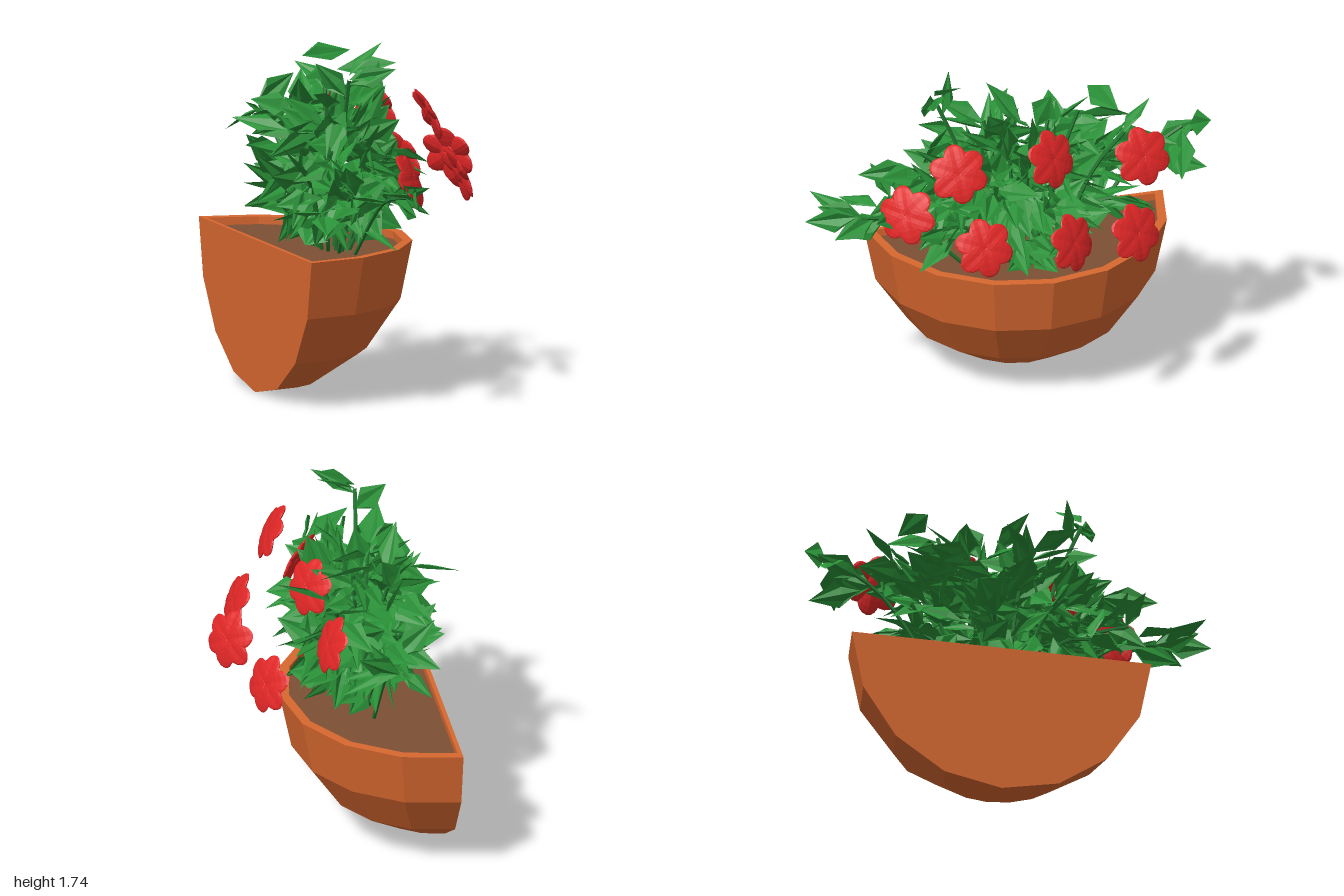
import * as THREE from 'three';
import { mergeGeometries } from 'three/addons/utils/BufferGeometryUtils.js';

const V = (x, y, z) => new THREE.Vector3(x, y, z);
const mat = (color, extra = {}) => new THREE.MeshStandardMaterial({ color, flatShading: true, ...extra });

// seeded random numbers
let seed = 11;
const rnd = (a = 0, b = 1) => {
  seed = (seed * 16807) % 2147483647;
  return a + (b - a) * seed / 2147483647;
};

function add(parent, name, geometry, material) {
  const mesh = new THREE.Mesh(geometry, material);
  mesh.name = name;
  parent.add(mesh);
  return mesh;
}

// half of a 16-sided ring, bulging toward +x (flat side at x = back)
function halfRing(r, back = 0) {
  const pts = [];
  for (let i = 0; i <= 8; i++) {
    const a = -Math.PI / 2 + i * Math.PI / 8;
    pts.push(new THREE.Vector2(Math.max(back, r * Math.cos(a)), r * Math.sin(a)));
  }
  return pts;
}

// flat half ring with a hole, used for the rim and the wall below it
function rimShape(outer, back, R) {
  const shape = new THREE.Shape(halfRing(outer, back));
  shape.holes.push(new THREE.Path(halfRing(R - 0.045, 0.02).reverse()));
  return shape;
}

// quarter-sphere wall pot with flat back, rim and soil
function makePot() {
  const R = 0.745, pot = new THREE.Group();
  pot.name = 'pot';
  const clay = mat(0xd86830);

  const bowl = new THREE.SphereGeometry(R, 8, 4, Math.PI / 2, Math.PI, Math.PI / 2, Math.PI / 2);
  add(pot, 'bowl', bowl.translate(0, R, 0), clay);

  const back = halfRing(R).map(p => new THREE.Vector2(p.y, R - p.x));
  add(pot, 'backPlate', new THREE.ShapeGeometry(new THREE.Shape(back)).rotateY(-Math.PI / 2), clay);

  const rim = new THREE.ShapeGeometry(rimShape(R, 0, R));
  add(pot, 'rim', rim.rotateX(-Math.PI / 2).translate(0, R, 0), clay);

  const wall = new THREE.ExtrudeGeometry(rimShape(R - 0.015, 0.005, R), { depth: 0.045, bevelEnabled: false });
  add(pot, 'innerWall', wall.rotateX(-Math.PI / 2).translate(0, R - 0.047, 0), clay);

  const soil = new THREE.ShapeGeometry(new THREE.Shape(halfRing(R - 0.03, 0.01)));
  add(pot, 'soil', soil.rotateX(-Math.PI / 2).translate(0, R - 0.04, 0), mat(0x7d4f33));

  pot.scale.x = 1.02;
  pot.position.set(-0.5, 0, -0.145);
  return pot;
}

// pleated pointed leaf from base to tip
function leaf(base, tip, up, width = 0.13) {
  const dir = tip.clone().sub(base), len = dir.length();
  dir.normalize();
  const side = up.clone().cross(dir).normalize();
  const normal = dir.clone().cross(side);
  const at = (u, v, w) => base.clone().addScaledVector(dir, u * len)
    .addScaledVector(side, v * width).addScaledVector(normal, w * width);
  const mid = [[0.45, -0.5, 0.1], [0.33, -0.27, 0.13], [0.36, 0, -0.04], [0.33, 0.27, 0.13], [0.45, 0.5, 0.1]]
    .map(p => at(...p));
  const tris = [];
  for (let i = 0; i < 4; i++) tris.push(base, mid[i + 1], mid[i], tip, mid[i], mid[i + 1]);
  const geo = new THREE.BufferGeometry().setFromPoints(tris);
  geo.computeVertexNormals();
  return geo;
}

// leaf heading roughly along a direction, kept inside an oval outline that narrows at both ends
function looseLeaf(base, heading, spread) {
  const d = heading.clone().normalize().add(V(rnd(-1, 1), rnd(-0.9, 0.7), rnd(-1, 1)).multiplyScalar(spread));
  const tip = base.clone().addScaledVector(d.normalize(), rnd(0.21, 0.28));
  const narrow = 0.8 * Math.min(tip.z * tip.z, 0.3);
  tip.clamp(V(-0.57 + narrow, 0.74, -0.99), V((tip.y > 1.2 ? 0.14 : 0.29) - narrow * 0.9, 1.66, 0.98));
  return leaf(base, tip, V(rnd(-1, 1), rnd(0.2, 1), rnd(-1, 1)), rnd(0.11, 0.15));
}

function makeFoliage() {
  const leaves = [], stems = [];
  const foliage = new THREE.Group();
  foliage.name = 'foliage';

  // long shoots, listed by the position of their ends
  const ends = [
    [-0.2, 1.58, 0.33], [-0.18, 1.27, -0.9], [-0.06, 1.06, 0.74], [-0.06, 1.5, -0.35],
    [0.06, 1.42, -0.55], [-0.36, 1.3, 0.02], [-0.38, 1.1, 0.2], [-0.38, 0.98, -0.15],
    [-0.22, 1.42, 0.08], [0.1, 1.2, 0.12], [0.12, 1.1, -0.2], [0.06, 1.35, -0.08],
    [-0.25, 1.05, 0.55], [-0.15, 1.25, 0.45], [-0.18, 1.2, -0.55], [-0.08, 0.98, -0.55],
    [-0.25, 1.36, -0.25], [-0.08, 1.42, 0.0], [0.02, 0.98, 0.35], [-0.34, 0.92, 0.35]
  ];
  for (const e of ends) {
    const end = V(...e);
    const root = V(-0.15 + (e[0] + 0.15) * 0.3, 0.7, -0.08 + (e[2] + 0.08) * 0.35);
    const bend = root.clone().lerp(end, 0.55).add(V(0, 0.1, 0));
    const curve = new THREE.CatmullRomCurve3([root, bend, end]);
    stems.push(new THREE.TubeGeometry(curve, 8, 0.01, 5));
    const heading = V(e[0] + 0.15, 0.1, e[2] + 0.05);
    for (let i = 0; i < 5; i++) {
      leaves.push(looseLeaf(curve.getPoint(0.48 + i * 0.12), heading, i < 4 ? 1.3 : 0.8));
    }
  }

  // outermost leaves
  [
    [[-0.2, 1.6, 0.33], [0, 1.74, 0.25], [-0.6, 1, 0]],
    [[-0.2, 1.58, 0.33], [-0.02, 1.62, 0.38], [0, 1, 0.5]],
    [[-0.18, 1.27, -0.94], [0.03, 1.4, -0.99], [0, 0.2, 1]],
    [[-0.18, 1.25, -0.9], [0.08, 1.12, -0.83], [0.2, 1, 0]],
    [[-0.12, 1.15, -0.75], [-0.05, 1.1, -0.99], [1, 0.5, 0]],
    [[-0.04, 1.08, 0.76], [-0.11, 1.05, 1], [1, 0.2, 0]],
    [[-0.05, 1.06, 0.77], [-0.28, 1.12, 0.93], [0, 1, 0]],
    [[-0.25, 1.0, 0.6], [-0.45, 0.97, 0.74], [0, 1, 0]],
    [[-0.15, 1.58, -0.42], [0.13, 1.58, -0.5], [0, 0.8, 0.6]],
    [[0.08, 1.48, -0.55], [0.33, 1.52, -0.4], [0, 0.7, 0.7]],
    [[-0.4, 1.3, 0.02], [-0.62, 1.35, -0.15], [0, 0.8, 0.6]]
  ].forEach(([b, t, u]) => leaves.push(leaf(V(...b), V(...t), V(...u))));

  // dense mound in the middle
  for (let i = 0; i < 190; i++) {
    const a = rnd(0, Math.PI * 2), h = rnd(-0.95, 0.95), k = Math.sqrt(rnd(0.03, 1));
    const s = Math.sqrt(1 - h * h) * k;
    const out = V(Math.cos(a) * s, h * k, Math.sin(a) * s);
    const base = V(-0.14 + out.x * 0.24, 1.08 + out.y * 0.33, -0.06 + out.z * 0.46);
    leaves.push(looseLeaf(base, V(out.x, out.y * 0.5 + 0.05, out.z), 1.5 - k * 0.3));
  }

  add(foliage, 'stems', mergeGeometries(stems), mat(0x257a32));
  add(foliage, 'leaves', mergeGeometries(leaves), mat(0x2a9138, { side: THREE.DoubleSide }));
  return foliage;
}

// six overlapping rounded petals around a small centre, facing +z
function flowerGeometry() {
  const parts = [new THREE.SphereGeometry(0.05, 10, 6).scale(1, 1, 0.3)];
  for (let i = 0; i < 6; i++) {
    const petal = new THREE.SphereGeometry(1, 12, 8);
    const p = petal.attributes.position;
    // crease along the middle of each petal
    for (let j = 0; j < p.count; j++) p.setZ(j, p.getZ(j) * 0.7 + Math.abs(p.getY(j)) * 0.4);
    petal.scale(0.075, 0.058, 0.02).rotateY(0.14).translate(0.072, 0, 0);
    parts.push(petal.rotateZ(i * Math.PI / 3 + 0.05));
  }
  return mergeGeometries(parts);
}

function makeFlowers() {
  const flowers = new THREE.Group();
  flowers.name = 'flowers';
  const geo = flowerGeometry(), red = mat(0xe02626);
  // position, facing direction
  [
    [[0.215, 1.39, 0.32], [0.88, 0.45, 0.1]],
    [[0.04, 1.1, 0.53], [0.7, 0.35, 0.55]],
    [[0.4, 1.07, 0.24], [0.9, 0.4, 0]],
    [[0.12, 1.35, -0.17], [0.8, 0.35, -0.45]],
    [[0.51, 1.1, -0.17], [0.75, 0.3, -0.52]],
    [[0.39, 1.04, -0.52], [0.85, 0.35, -0.4]],
    [[0.1, 1.29, -0.63], [0.9, 0.38, -0.15]]
  ].forEach(([p, n], i) => {
    const flower = add(flowers, 'flower' + (i + 1), geo, red);
    flower.position.set(...p);
    flower.quaternion.setFromUnitVectors(V(0, 0, 1), V(...n).normalize());
  });
  return flowers;
}

export function createModel() {
  seed = 11;
  const model = new THREE.Group();
  model.name = 'wallPlanter';
  model.add(makePot(), makeFoliage(), makeFlowers());
  return model;
}
